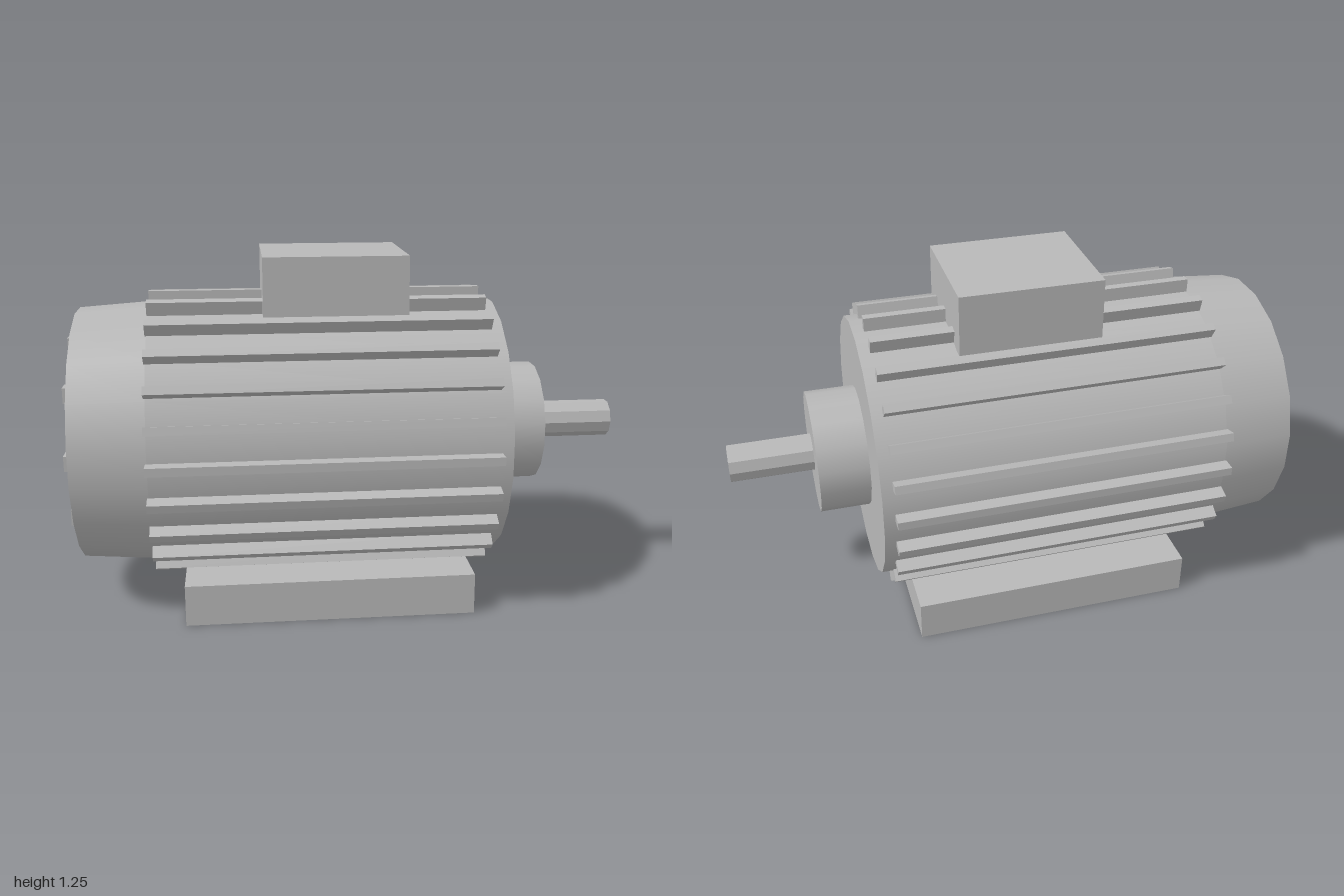
import * as THREE from 'three';

export function createModel() {
  const group = new THREE.Group();
  const grey = new THREE.MeshStandardMaterial({ color: 0xb8b8b8 });
  grey.name = 'machine grey';
  const facetedGrey = grey;
  const AXIS = 0.59; // height of the shaft axis

  function add(name, geometry, parent = group) {
    const mesh = new THREE.Mesh(geometry, facetedGrey);
    mesh.name = name;
    parent.add(mesh);
    return mesh;
  }

  function box(name, x0, x1, y0, y1, z0, z1, parent) {
    const g = new THREE.BoxGeometry(x1 - x0, y1 - y0, z1 - z0);
    g.translate((x0 + x1) / 2, (y0 + y1) / 2, (z0 + z1) / 2);
    return add(name, g, parent);
  }

  // Cylinder lying along x from x0 (radius r0) to x1 (radius r1)
  function drum(name, x0, x1, r0, r1, sides, flat = false) {
    const start = sides % 4 === 0 ? Math.PI / sides : 0; // flat side on top
    let g = new THREE.CylinderGeometry(r1, r0, x1 - x0, sides, 1, false, start);
    g.rotateZ(-Math.PI / 2);
    g.translate((x0 + x1) / 2, AXIS, 0);
    if (flat) {
      g = g.toNonIndexed();
      g.computeVertexNormals();
    }
    return add(name, g);
  }

  // Housing, tapered rear cover, bearing boss and shaft
  drum('housing', -0.72, 0.52, 0.477, 0.477, 20);
  drum('rearCover', -0.98, -0.72, 0.458, 0.477, 20);
  drum('bearingBoss', 0.52, 0.7, 0.222, 0.222, 16);
  drum('shaft', 0.7, 1.0, 0.069, 0.069, 10, true);

  // Cooling fins around the housing
  const fins = new THREE.Group();
  fins.name = 'coolingFins';
  fins.position.y = AXIS;
  group.add(fins);
  for (let i = 0; i < 24; i++) {
    const fin = box('coolingFin', -0.725, 0.48, 0.465, 0.52, -0.015, 0.015, fins);
    fin.rotation.x = (i / 24) * Math.PI * 2;
  }

  // Square bolt heads on the rear cover
  const bolts = new THREE.Group();
  bolts.name = 'rearBolts';
  group.add(bolts);
  for (let i = 0; i < 10; i++) {
    const a = (i / 10) * Math.PI * 2;
    const y = AXIS + 0.37 * Math.sin(a), z = 0.37 * Math.cos(a), h = 0.027;
    box('rearBolt', -1.0, -0.97, y - h, y + h, z - h, z + h, bolts);
  }

  // Terminal box on top and mounting base below
  box('terminalBox', -0.32, 0.19, 1.03, 1.25, -0.22, 0.22);
  box('mountingBase', -0.615, 0.405, 0, 0.147, -0.44, 0.44);

  return group;
}
